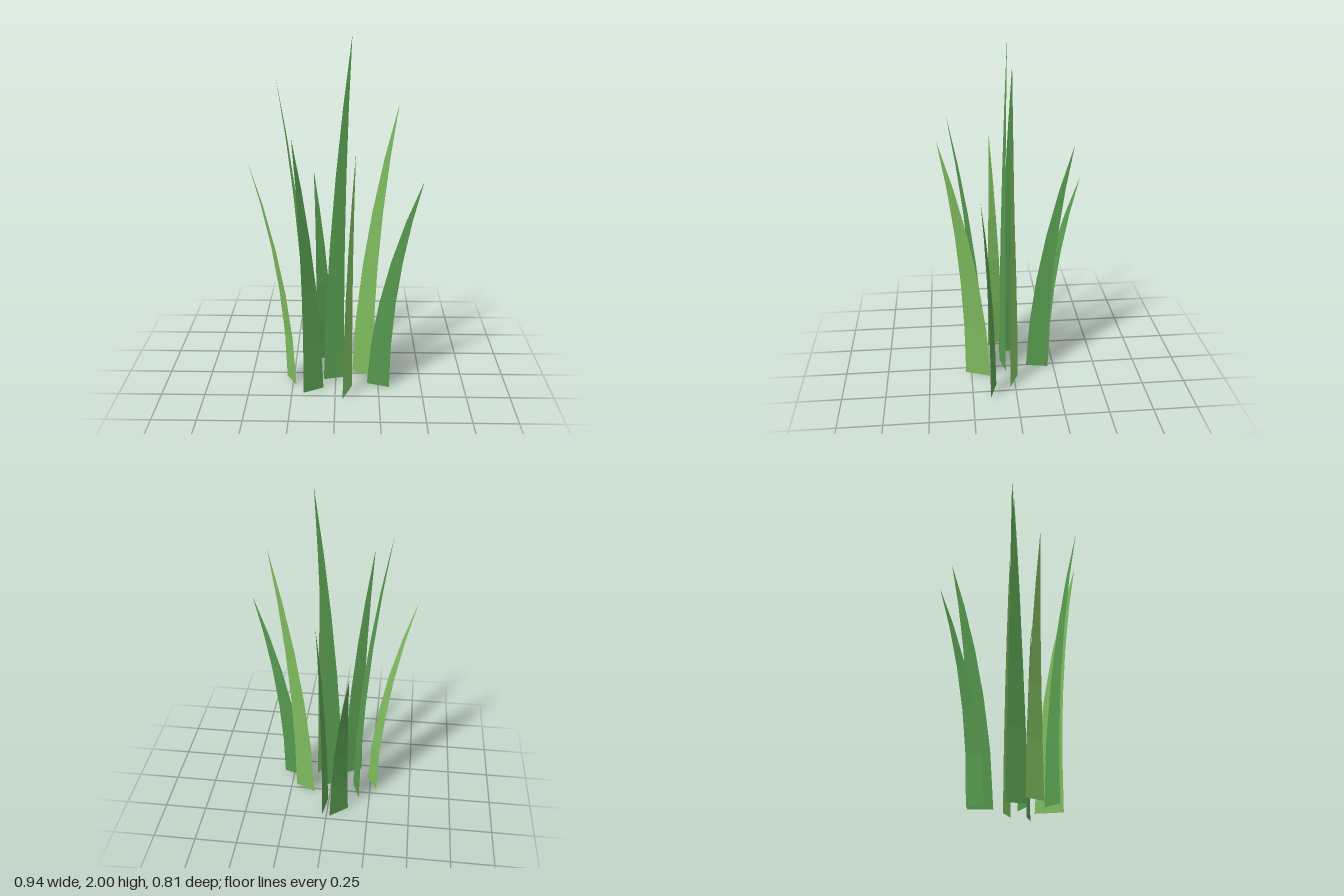
import * as THREE from 'three';

const midGreen = new THREE.MeshStandardMaterial({ color: 0x569a4e, side: THREE.DoubleSide, flatShading: true });
midGreen.name = 'midGreen';
const lightGreen = new THREE.MeshStandardMaterial({ color: 0x7fbc5f, side: THREE.DoubleSide, flatShading: true });
lightGreen.name = 'lightGreen';

const SEGMENTS = 5;

// Flat blade: base edge a-b on the ground, tapering and bending over to the tip
function bladeGeometry([ax, az], [bx, bz], [tx, ty, tz]) {
  const cx = (ax + bx) / 2, cz = (az + bz) / 2;
  const pos = [], index = [];
  for (let i = 0; i <= SEGMENTS; i++) {
    const t = i / SEGMENTS;
    const bend = Math.pow(t, 1.75);
    const half = (1 - Math.pow(t, 1.3)) / 2;
    const x = cx + (tx - cx) * bend, z = cz + (tz - cz) * bend;
    const y = ty * (t + 0.1 * t * (1 - t));
    const dx = (bx - ax) * half, dz = (bz - az) * half;
    pos.push(x - dx, y, z - dz);
    if (i < SEGMENTS) pos.push(x + dx, y, z + dz);
    const k = 2 * i;
    if (i < SEGMENTS - 1) index.push(k, k + 1, k + 3, k, k + 3, k + 2);
    else if (i < SEGMENTS) index.push(k, k + 1, k + 2);
  }
  const geo = new THREE.BufferGeometry();
  geo.setAttribute('position', new THREE.Float32BufferAttribute(pos, 3));
  geo.setIndex(index);
  geo.computeVertexNormals();
  return geo;
}

export function createModel() {
  const group = new THREE.Group();
  group.name = 'grassTuft';
  // name, base left, base right, tip, material
  const blades = [
    ['backBlade', [-0.125, -0.145], [-0.02, -0.225], [-0.142, 1.16, -0.405], midGreen],
    ['backCentreBlade', [0.005, -0.085], [0.026, -0.215], [0.035, 1.41, -0.338], midGreen],
    ['innerRightBlade', [-0.185, -0.045], [-0.14, 0.07], [-0.322, 1.78, -0.03], midGreen],
    ['outerRightBlade', [-0.29, 0.035], [-0.23, 0.135], [-0.472, 1.35, 0.1], lightGreen],
    ['frontRightBlade', [-0.182, 0.22], [-0.07, 0.163], [-0.215, 1.53, 0.352], midGreen],
    ['tallCentreBlade', [-0.07, 0.073], [0.05, 0.043], [0.085, 2.0, 0.033], midGreen],
    ['frontBlade', [0.043, 0.283], [0.097, 0.14], [0.105, 1.47, 0.405], lightGreen],
    ['innerLeftBlade', [0.1, -0.025], [0.22, 0.03], [0.337, 1.65, 0.04], lightGreen],
    ['outerLeftBlade', [0.185, 0.11], [0.313, 0.15], [0.468, 1.27, 0.197], midGreen],
  ];
  for (const [name, a, b, tip, material] of blades) {
    const mesh = new THREE.Mesh(bladeGeometry(a, b, tip), material);
    mesh.name = name;
    group.add(mesh);
  }
  return group;
}
